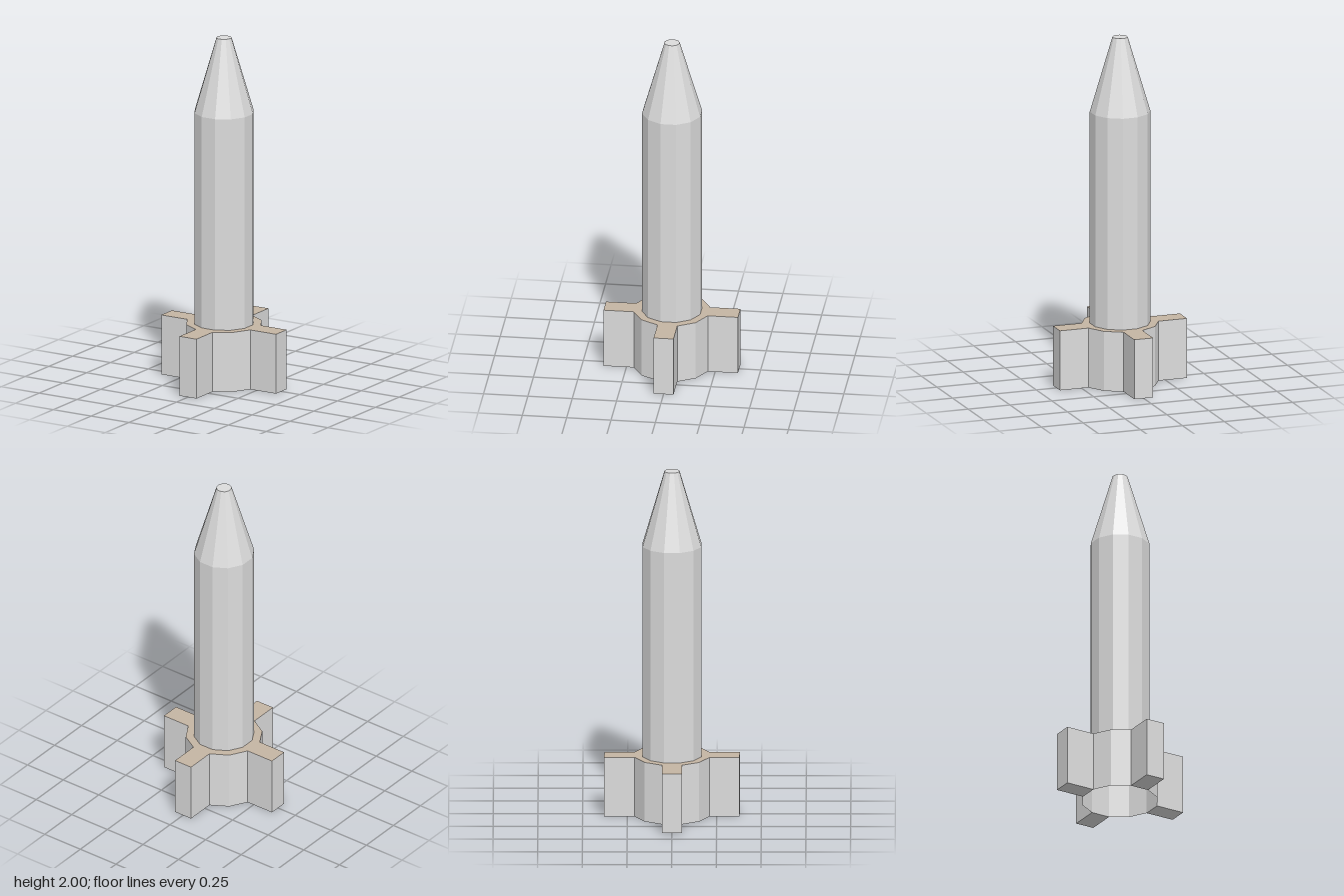
import * as THREE from 'three';

const SIDES = 12, START = Math.PI / 12;
const BODY_R = 0.17, COLLAR_R = 0.216, TIP_R = 0.043;
const COLLAR_H = 0.345, SHOULDER = 1.57, TOP = 2, REACH = 0.379;

export function createModel() {
  const group = new THREE.Group();
  const gray = new THREE.MeshStandardMaterial({ color: 0xdcdcdc, flatShading: true, side: THREE.DoubleSide });
  gray.name = 'light gray';
  const tan = new THREE.MeshStandardMaterial({ color: 0xc5b5a3, flatShading: true, side: THREE.DoubleSide });
  tan.name = 'tan';

  const add = (name, geometry, material, x = 0, y = 0, z = 0) => {
    const mesh = new THREE.Mesh(geometry, material);
    mesh.name = name;
    mesh.position.set(x, y, z);
    group.add(mesh);
    return mesh;
  };
  // Open twelve-sided wall between two heights
  const wall = (name, rTop, rBottom, y0, y1) =>
    add(name, new THREE.CylinderGeometry(rTop, rBottom, y1 - y0, SIDES, 1, true, START), gray, 0, (y0 + y1) / 2);

  // Hollow shell, open underneath
  wall('collar', COLLAR_R, COLLAR_R, 0, COLLAR_H);
  wall('body', BODY_R, BODY_R, COLLAR_H, SHOULDER);
  wall('nose', TIP_R, BODY_R, SHOULDER, TOP);
  add('noseCap', new THREE.CircleGeometry(TIP_R, SIDES, START), gray, 0, TOP).rotation.x = -Math.PI / 2;
  add('collarTop', new THREE.RingGeometry(BODY_R, COLLAR_R, SIDES, 1, START), tan, 0, COLLAR_H).rotation.x = -Math.PI / 2;

  // Four fins continue the collar faces outward, with tan tops
  const inner = COLLAR_R * Math.cos(START), width = 2 * COLLAR_R * Math.sin(START);
  const fin = new THREE.BoxGeometry(REACH - inner, COLLAR_H, width);
  const finMaterials = [gray, gray, tan, gray, gray, gray];
  const mid = (REACH + inner) / 2;
  ['leftFin', 'backFin', 'rightFin', 'frontFin'].forEach((name, i) => {
    const a = i * Math.PI / 2;
    add(name, fin, finMaterials, mid * Math.cos(a), COLLAR_H / 2, -mid * Math.sin(a)).rotation.y = a;
  });
  return group;
}
